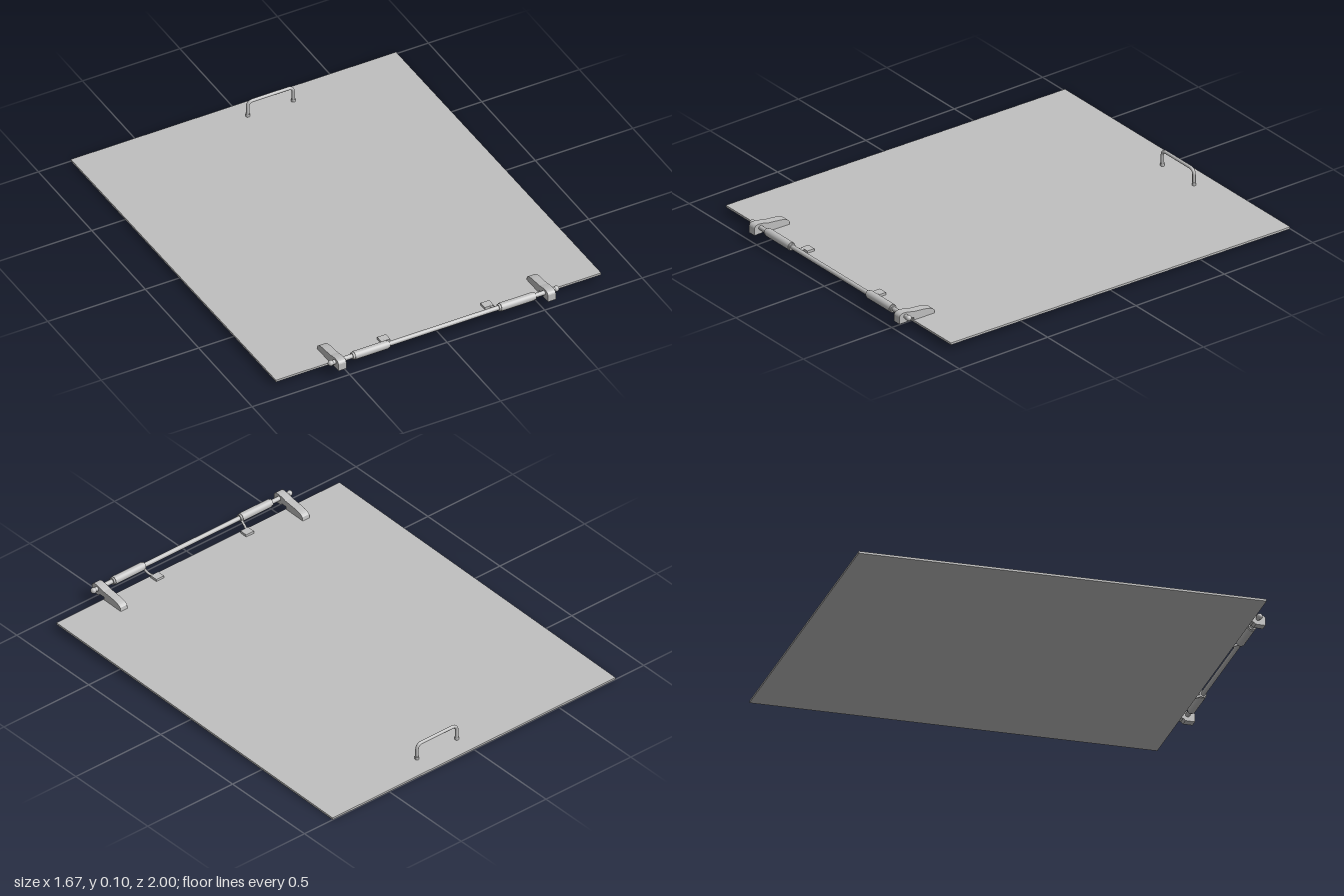
import * as THREE from 'three';

const steel = new THREE.MeshStandardMaterial({ color: 0xc0c0c0 });
steel.name = 'steel grey';

export function createModel() {
  const model = new THREE.Group();
  model.name = 'hatchPanel';

  const add = (name, geometry, x = 0, y = 0, z = 0) => {
    const mesh = new THREE.Mesh(geometry, steel);
    mesh.name = name;
    mesh.position.set(x, y, z);
    model.add(mesh);
    return mesh;
  };
  // Solid bar along x
  const bar = (radius, length) => new THREE.CylinderGeometry(radius, radius, length, 20).rotateZ(Math.PI / 2);

  // Thin panel, raised slightly towards the hinge edge
  const tilt = 0.0135;
  const panel = add('panel', new THREE.BoxGeometry(1.668, 0.01, 1.92), 0, 0.018, -0.04);
  panel.rotation.x = -tilt;

  // Hinge rod with rounded tips
  const rodY = 0.07, rodZ = 0.965;
  add('hingeRod', bar(0.011, 1.16), 0, rodY, rodZ);

  // Side profile of a hinge bracket, drawn as (z, y)
  const profile = new THREE.Shape();
  profile.moveTo(0.8, 0.034);
  profile.lineTo(0.803, 0.052);
  profile.quadraticCurveTo(0.815, 0.068, 0.86, 0.073);
  profile.lineTo(0.92, 0.079);
  profile.quadraticCurveTo(0.955, 0.09, 0.975, 0.09);
  profile.quadraticCurveTo(0.995, 0.09, 1.0, 0.075);
  profile.lineTo(1.0, 0.04);
  profile.lineTo(0.955, 0.04);
  profile.lineTo(0.945, 0.05);
  profile.lineTo(0.918, 0.05);
  profile.lineTo(0.915, 0.034);
  profile.closePath();

  for (const side of [-1, 1]) {
    const bracket = new THREE.ExtrudeGeometry(profile, { depth: 0.04, bevelEnabled: false, curveSegments: 6 });
    bracket.translate(0, 0, -0.02).rotateY(-Math.PI / 2);
    add('hingeBracket', bracket, side * 0.537);

    add('rodTip', new THREE.SphereGeometry(0.014, 16, 10), side * 0.578, rodY, rodZ);

    // Spring sleeve with end collars
    add('springSleeve', bar(0.02, 0.17), side * 0.375, rodY, rodZ);
    for (const end of [0.287, 0.463]) {
      add('sleeveCollar', bar(0.017, 0.012), side * end, rodY, rodZ);
    }

    // Spring foot resting on the panel, joined to the sleeve by a bent arm
    add('springFoot', new THREE.BoxGeometry(0.045, 0.012, 0.04), side * 0.265, 0.042, 0.89);
    const arm = new THREE.CatmullRomCurve3([
      new THREE.Vector3(side * 0.27, 0.043, 0.9),
      new THREE.Vector3(side * 0.282, 0.046, 0.925),
      new THREE.Vector3(side * 0.287, 0.058, 0.95),
      new THREE.Vector3(side * 0.29, rodY, rodZ),
    ]);
    add('springArm', new THREE.TubeGeometry(arm, 12, 0.006, 8));
  }

  // Pull handle with rounded corners
  const left = 0.018, right = 0.252, foot = 0.008, top = 0.09, r = 0.028, z = -0.9;
  const v = (x, y) => new THREE.Vector3(x, y, z);
  const path = new THREE.CurvePath();
  path.add(new THREE.LineCurve3(v(left, foot), v(left, top - r)));
  path.add(new THREE.QuadraticBezierCurve3(v(left, top - r), v(left, top), v(left + r, top)));
  path.add(new THREE.LineCurve3(v(left + r, top), v(right - r, top)));
  path.add(new THREE.QuadraticBezierCurve3(v(right - r, top), v(right, top), v(right, top - r)));
  path.add(new THREE.LineCurve3(v(right, top - r), v(right, foot)));
  add('handle', new THREE.TubeGeometry(path, 80, 0.008, 12));
  for (const x of [left, right]) {
    add('handleFoot', new THREE.CylinderGeometry(0.01, 0.01, 0.018, 14), x, 0.017, z);
  }

  return model;
}
